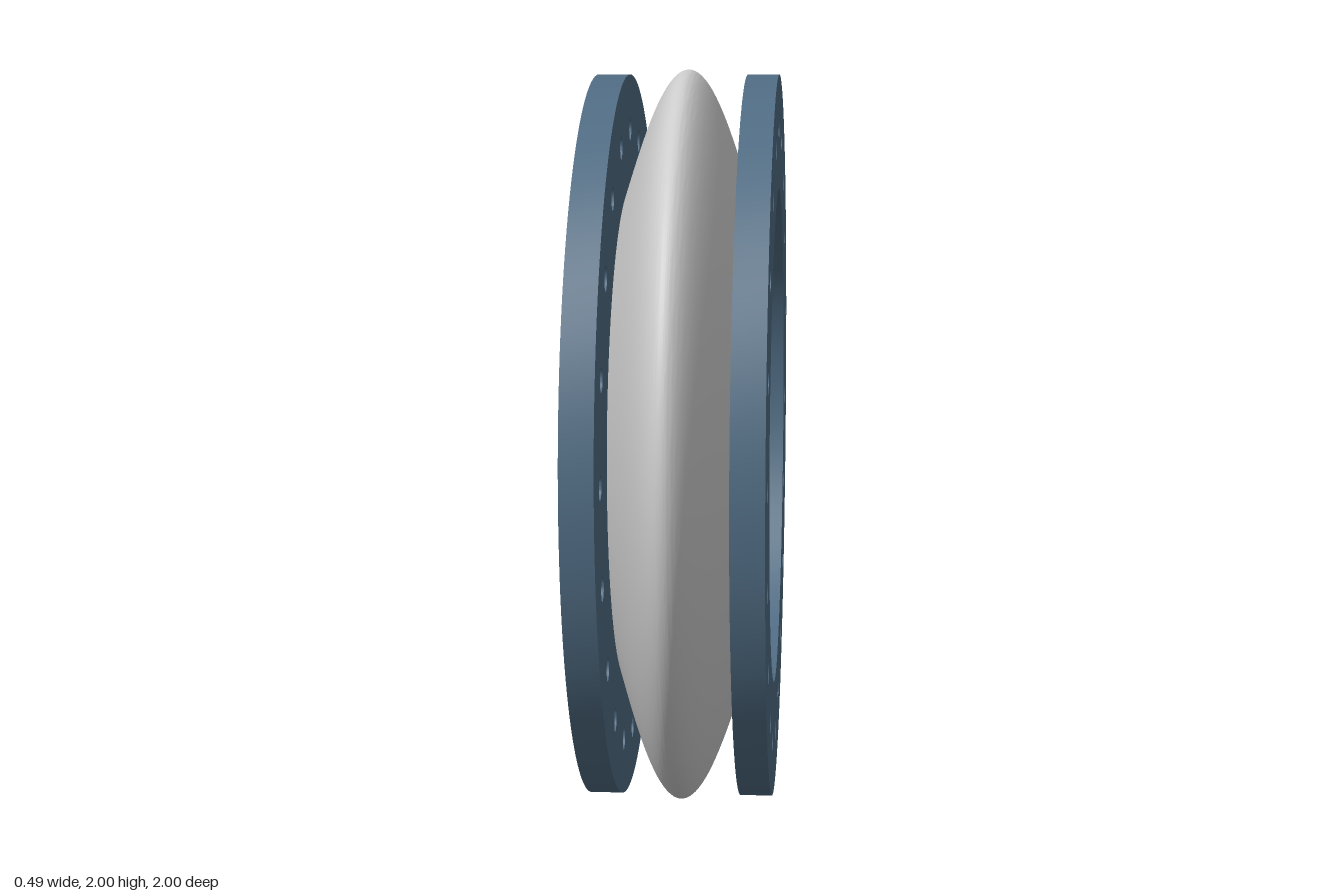
import * as THREE from 'three';
import { toCreasedNormals } from 'three/addons/utils/BufferGeometryUtils.js';

const HALF = 0.16;      // half width of the bellows
const FLANGE = 0.085;   // flange thickness
const BOLTS = 20;

const rubber = new THREE.MeshStandardMaterial({ color: 0xcccccc });
const steel = new THREE.MeshStandardMaterial({ color: 0x4f6b82 });

// Points of a circle, used for rims, bores and bolt holes
function circle(cx, cy, r, n) {
  return Array.from({ length: n }, (_, i) => {
    const a = (i / n) * Math.PI * 2;
    return new THREE.Vector2(cx + r * Math.cos(a), cy + r * Math.sin(a));
  });
}

// Drilled ring, extruded and turned so that its axis is x
function flangeGeometry() {
  const ring = new THREE.Shape(circle(0, 0, 0.987, 128));
  ring.holes.push(new THREE.Path(circle(0, 0, 0.68, 128)));
  for (let i = 0; i < BOLTS; i++) {
    const a = (i / BOLTS) * Math.PI * 2;
    ring.holes.push(new THREE.Path(circle(0.84 * Math.cos(a), 0.84 * Math.sin(a), 0.032, 24)));
  }
  const g = new THREE.ExtrudeGeometry(ring, { depth: FLANGE, bevelEnabled: false });
  g.translate(0, 0, -FLANGE / 2).rotateY(Math.PI / 2);
  return toCreasedNormals(g, 0.5);
}

// Hollow bulging shell: outer curve, end lip, inner curve, end lip
function bellowsGeometry() {
  const n = 64, outer = [], inner = [];
  for (let i = 0; i <= n; i++) {
    const x = -HALF + (2 * HALF * i) / n;
    const r = 0.68 + 0.32 * Math.cos((Math.PI * x) / (2 * HALF));
    outer.push(new THREE.Vector2(r, x));
    inner.unshift(new THREE.Vector2(r - 0.05, x));
  }
  const g = new THREE.LatheGeometry([...outer, ...inner, outer[0].clone()], 128);
  g.rotateZ(-Math.PI / 2);
  return toCreasedNormals(g, 0.25);
}

export function createModel() {
  const model = new THREE.Group();
  model.name = 'expansionJoint';

  const bellows = new THREE.Mesh(bellowsGeometry(), rubber);
  bellows.name = 'bellows';
  bellows.position.y = 1;
  model.add(bellows);

  // One flange on each end of the bellows
  const geometry = flangeGeometry();
  for (const side of [1, -1]) {
    const flange = new THREE.Mesh(geometry, steel);
    flange.name = side > 0 ? 'leftFlange' : 'rightFlange';
    flange.position.set(side * (HALF + FLANGE / 2), 1, 0);
    model.add(flange);
  }
  return model;
}
